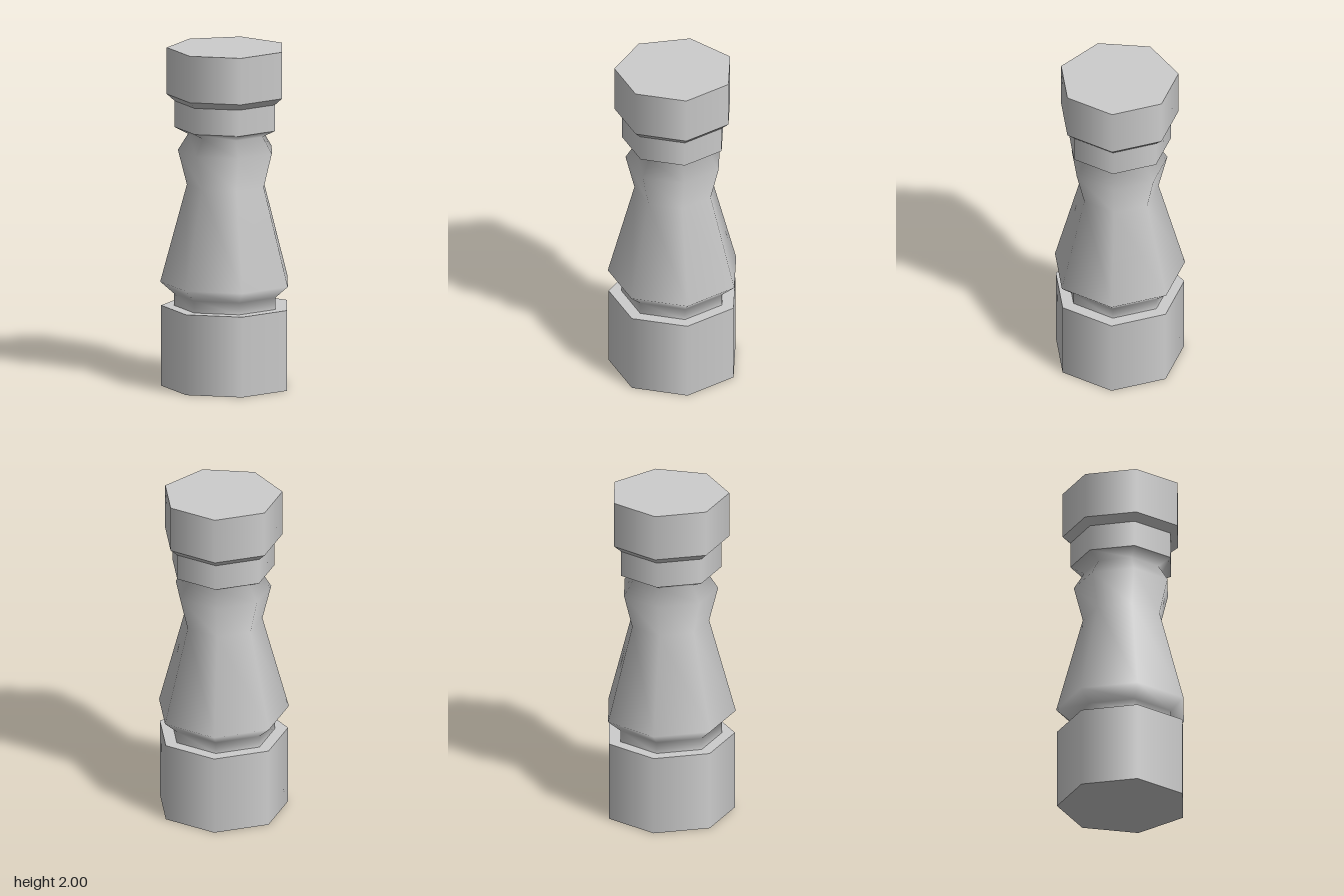
import * as THREE from 'three';

const SIDES = 7;

export function createModel() {
  const model = new THREE.Group();
  model.name = 'pillar';
  const stone = new THREE.MeshStandardMaterial({ color: 0xcccccc });
  stone.name = 'light grey stone';

  // Smooth seven-sided ring built from [radius, height] pairs, one corner facing the back
  function ring(name, profile) {
    const points = profile.map(([r, y]) => new THREE.Vector2(r, y));
    const mesh = new THREE.Mesh(new THREE.LatheGeometry(points, SIDES, Math.PI), stone);
    mesh.name = name;
    mesh.position.z = 0.0185; // centres the odd-sided outline in depth
    model.add(mesh);
  }

  // Plinth
  ring('plinthBottom', [[0, 0], [0.385, 0]]);
  ring('plinthSides', [[0.385, 0], [0.385, 0.475]]);
  ring('plinthLedge', [[0.385, 0.475], [0.31, 0.475]]);

  // Turned shaft with a flared foot, a waist and a collar
  ring('shaft', [
    [0.31, 0.475], [0.31, 0.545], [0.39, 0.615], [0.235, 1.19],
    [0.287, 1.395], [0.228, 1.49], [0.307, 1.53],
  ]);

  // Stepped capital
  ring('capitalBand', [[0.307, 1.53], [0.307, 1.685]]);
  ring('capitalBevel', [[0.307, 1.685], [0.352, 1.725]]);
  ring('capitalSides', [[0.352, 1.725], [0.352, 2]]);
  ring('capitalTop', [[0.352, 2], [0, 2]]);

  return model;
}
